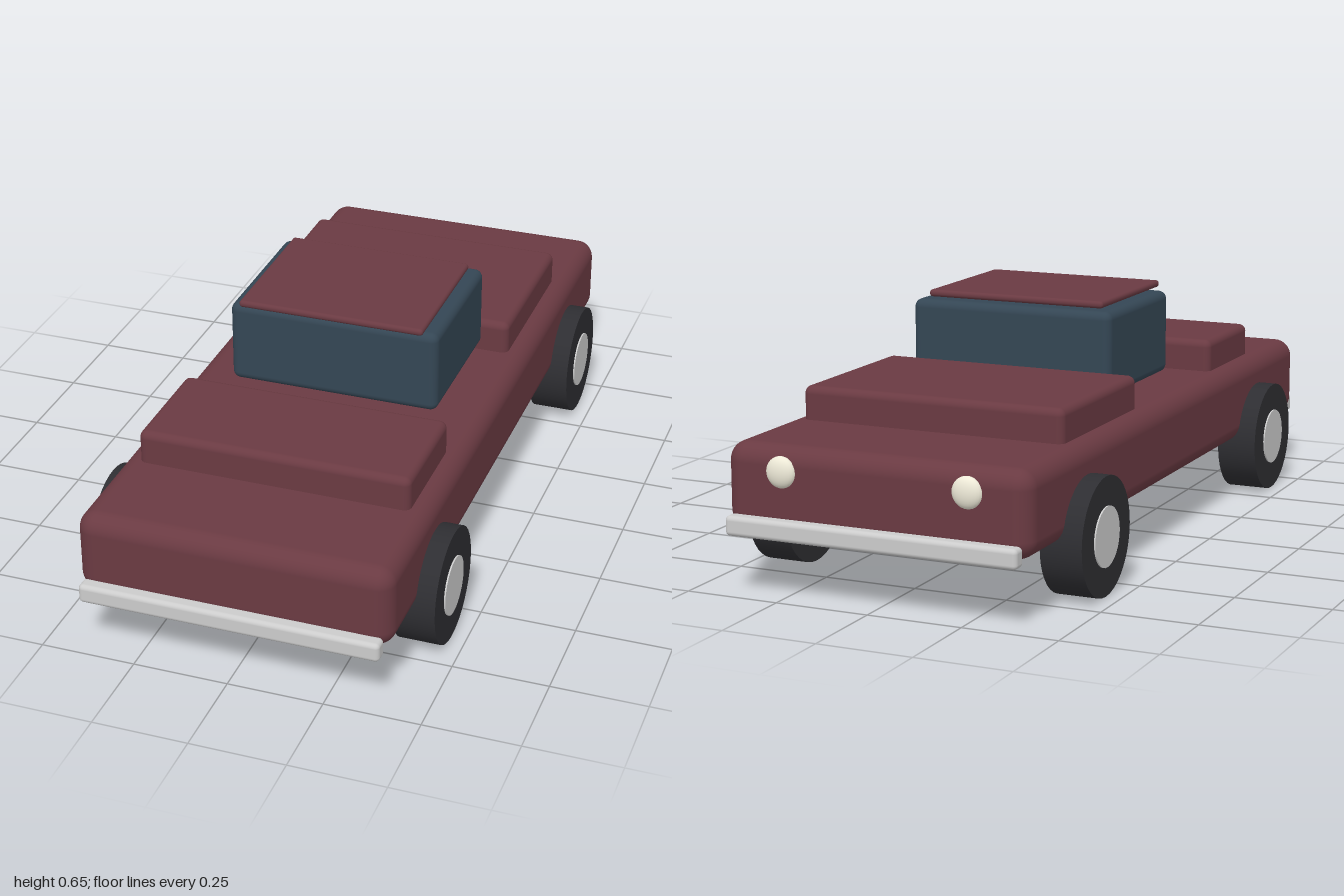
import * as THREE from 'three';
import { RoundedBoxGeometry } from 'three/addons/geometries/RoundedBoxGeometry.js';

const mat = (color) => new THREE.MeshStandardMaterial({ color });

export function createModel() {
  const car = new THREE.Group();
  car.name = 'car';
  const paint = mat(0x6a3a42);
  const glass = mat(0x344654);
  const rubber = mat(0x2e2e32);
  const metal = mat(0xcccccc);
  const lampGlass = mat(0xeeead8);

  const add = (name, geometry, material, x, y, z, parent = car) => {
    const mesh = new THREE.Mesh(geometry, material);
    mesh.name = name;
    mesh.position.set(x, y, z);
    parent.add(mesh);
    return mesh;
  };

  // Rounded block given by its half width and its y and z extents
  const block = (name, material, halfX, y0, y1, z0, z1, radius) =>
    add(name, new RoundedBoxGeometry(halfX * 2, y1 - y0, z1 - z0, 5, radius),
      material, 0, (y0 + y1) / 2, (z0 + z1) / 2);

  // Body, raised lids, cabin and the floating roof panel
  block('body', paint, 0.41, 0.16, 0.38, -0.965, 0.965, 0.048);
  block('frontLid', paint, 0.36, 0.35, 0.467, 0.358, 0.675, 0.02);
  block('rearDeck', paint, 0.36, 0.35, 0.467, -0.66, -0.18, 0.02);
  block('cabin', glass, 0.286, 0.4, 0.625, -0.19, 0.23, 0.022);
  block('roof', paint, 0.252, 0.629, 0.648, -0.16, 0.25, 0.009);

  // Bumpers
  block('frontBumper', metal, 0.392, 0.152, 0.203, 0.957, 1, 0.012);
  block('rearBumper', metal, 0.392, 0.152, 0.203, -1, -0.957, 0.012);

  // Wheels: tyre with a hub that stands slightly proud on both faces
  const tyre = new THREE.CylinderGeometry(0.152, 0.152, 0.11, 40).rotateZ(Math.PI / 2);
  const hub = new THREE.CylinderGeometry(0.077, 0.077, 0.118, 32).rotateZ(Math.PI / 2);
  for (const side of [1, -1]) {
    for (const end of [1, -1]) {
      const wheel = new THREE.Group();
      wheel.name = (end > 0 ? 'front' : 'rear') + (side > 0 ? 'Left' : 'Right') + 'Wheel';
      wheel.position.set(side * 0.405, 0.152, end * 0.622);
      add('tyre', tyre, rubber, 0, 0, 0, wheel);
      add('hub', hub, metal, 0, 0, 0, wheel);
      car.add(wheel);
    }
    // Flattened round lamp
    const lamp = add(side > 0 ? 'leftLamp' : 'rightLamp',
      new THREE.SphereGeometry(0.04, 24, 16), lampGlass, side * 0.25, 0.318, -0.963);
    lamp.scale.z = 0.5;
  }
  return car;
}
